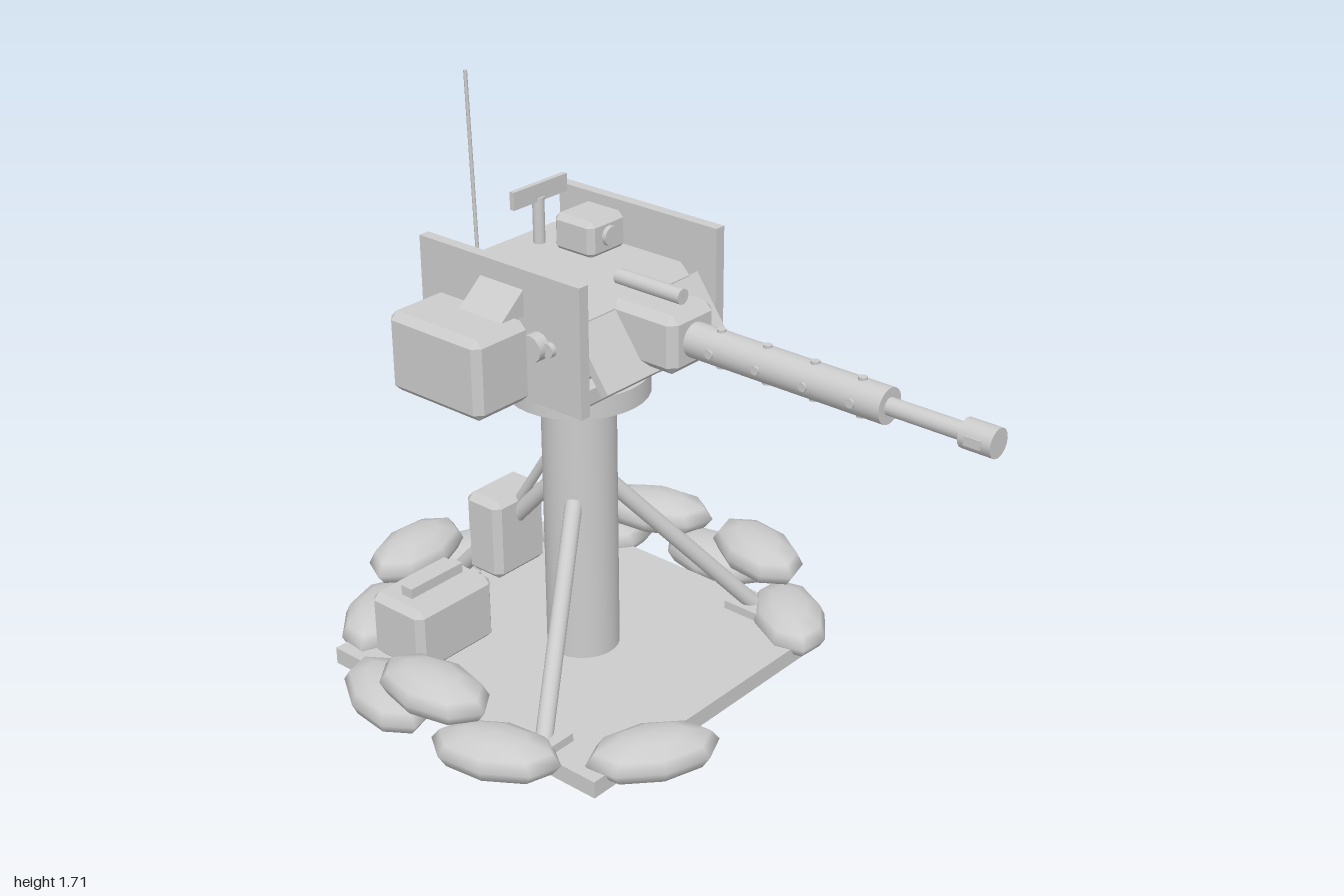
import * as THREE from 'three';
import { ConvexGeometry } from 'three/addons/geometries/ConvexGeometry.js';

export function createModel() {
  const model = new THREE.Group();
  const metal = new THREE.MeshStandardMaterial({ color: 0xcccccc });
  metal.name = 'light grey';
  const CX = -0.01, CZ = -0.3; // column axis

  function add(name, geometry, x = 0, y = 0, z = 0) {
    const mesh = new THREE.Mesh(geometry, metal);
    mesh.name = name;
    mesh.position.set(x, y, z);
    model.add(mesh);
    return mesh;
  }
  // box given by its limits, with optional chamfered edges
  function box(name, [x0, x1], [y0, y1], [z0, z1], bevel = 0) {
    const w = (x1 - x0) / 2, h = (y1 - y0) / 2, d = (z1 - z0) / 2;
    let geometry;
    if (bevel) {
      const points = [];
      for (const sx of [-1, 1]) for (const sy of [-1, 1]) for (const sz of [-1, 1]) {
        points.push(
          new THREE.Vector3(sx * w, sy * (h - bevel), sz * (d - bevel)),
          new THREE.Vector3(sx * (w - bevel), sy * h, sz * (d - bevel)),
          new THREE.Vector3(sx * (w - bevel), sy * (h - bevel), sz * d));
      }
      geometry = new ConvexGeometry(points);
    } else geometry = new THREE.BoxGeometry(w * 2, h * 2, d * 2);
    return add(name, geometry, (x0 + x1) / 2, (y0 + y1) / 2, (z0 + z1) / 2);
  }
  // cylinder running between two points
  function rod(name, a, b, radius, sides = 16) {
    const from = new THREE.Vector3(...a), to = new THREE.Vector3(...b);
    const dir = to.clone().sub(from);
    const mesh = add(name, new THREE.CylinderGeometry(radius, radius, dir.length(), sides));
    mesh.position.copy(from).add(to).multiplyScalar(0.5);
    mesh.quaternion.setFromUnitVectors(new THREE.Vector3(0, 1, 0), dir.normalize());
    return mesh;
  }

  // ground plate and pedestal
  box('basePlate', [-0.5, 0.48], [0.01, 0.06], [-0.8, 0.185]);
  rod('column', [CX, 0.06, CZ], [CX, 0.85, CZ], 0.103, 32);
  rod('columnFlange', [CX, 0.85, CZ], [CX, 0.91, CZ], 0.197, 32);
  rod('turretBearing', [CX, 0.9, CZ], [CX, 0.94, CZ], 0.13, 32);

  // braces with foot pads
  for (const s of [-1, 1]) {
    rod('frontBrace', [CX + s * 0.075, 0.55, -0.255], [CX + s * 0.45, 0.07, -0.03], 0.024);
    box('frontFoot', [CX + s * 0.44 - 0.05, CX + s * 0.44 + 0.05], [0.06, 0.085], [-0.1, 0.02]);
  }
  rod('rearBrace', [CX, 0.55, -0.39], [CX, 0.07, -0.83], 0.024);
  box('rearFoot', [CX - 0.05, CX + 0.05], [0.06, 0.085], [-0.88, -0.76]);

  // ring of sandbags: eight below, four on top, open at the front
  const bag = new THREE.SphereGeometry(1, 8, 6);
  function sandbag(degrees, radius, y) {
    const a = THREE.MathUtils.degToRad(degrees);
    const mesh = add('sandbag', bag, CX + radius * Math.cos(a), y, CZ + radius * Math.sin(a));
    mesh.scale.set(0.186, 0.063, 0.105);
    mesh.rotation.y = -a - Math.PI / 2;
  }
  for (const d of [0, 40, -40, -80, -120, -160, 160, 120]) sandbag(d, 0.6, 0.068);
  for (const d of [20, -20, -100, 180]) sandbag(d, 0.58, 0.183);

  // crate on the plate
  box('crate', [-0.45, -0.16], [0.06, 0.26], [-0.7, -0.5], 0.02);
  box('crateHandle', [-0.4, -0.205], [0.26, 0.29], [-0.62, -0.58]);

  // control box behind the column
  box('controlBox', [-0.11, 0.09], [0.2, 0.45], [-0.66, -0.53], 0.02);
  box('controlPanel', [-0.07, 0.05], [0.3, 0.41], [-0.685, -0.65]);
  add('controlKnob', new THREE.SphereGeometry(0.033, 16, 12), CX, 0.36, -0.69);
  rod('controlBoxStrut', [CX, 0.655, -0.39], [CX, 0.41, -0.55], 0.014, 10);

  // turret housing
  box('turretTray', [-0.237, 0.219], [0.925, 0.995], [-0.585, -0.08], 0.015);
  box('turretBody', [-0.245, 0.225], [0.985, 1.2], [-0.6, -0.085], 0.03);
  box('rearPanel', [-0.21, 0.19], [1.01, 1.15], [-0.607, -0.59]);
  const glacis = add('frontSlope', new THREE.BoxGeometry(0.48, 0.19, 0.025), CX, 1.085, -0.042);
  glacis.rotation.x = -0.62;

  // side shields and pivot hubs
  for (const s of [-1, 1]) {
    const x = CX + s * 0.264;
    box('sideShield', [x - 0.016, x + 0.016], [0.943, 1.3], [-0.588, -0.03]);
    rod('pivotHub', [CX + s * 0.22, 1.11, -0.17], [CX + s * 0.315, 1.11, -0.17], 0.037, 12);
    rod('pivotPin', [CX + s * 0.22, 1.11, -0.13], [CX + s * 0.295, 1.11, -0.13], 0.02, 12);
  }

  // ammunition box with feed chute
  box('ammoBox', [-0.5, -0.305], [0.96, 1.18], [-0.5, -0.18], 0.02);
  box('ammoBracket', [-0.31, -0.28], [1.04, 1.12], [-0.4, -0.26]);
  const chuteShape = new THREE.Shape([[-0.375, 1.175], [-0.285, 1.175], [-0.285, 1.25]]
    .map(([x, y]) => new THREE.Vector2(x, y)));
  add('feedChute', new THREE.ExtrudeGeometry(chuteShape, { depth: 0.15, bevelEnabled: false }), 0, 0, -0.37);

  // gun
  const GY = 1.11;
  box('receiver', [-0.097, 0.077], [1.03, 1.19], [-0.12, 0.105], 0.022);
  rod('receiverTube', [CX, 1.215, -0.15], [CX, 1.215, 0.065], 0.021);
  rod('barrelJacket', [CX, GY, 0.09], [CX, GY, 0.7], 0.047, 24);
  rod('barrel', [CX, GY, 0.69], [CX, GY, 0.93], 0.023);
  rod('muzzle', [CX, GY, 0.912], [CX, GY, 1], 0.038);
  for (const z of [0.19, 0.335, 0.48, 0.62]) {
    rod('jacketBoltVertical', [CX, GY - 0.053, z], [CX, GY + 0.053, z], 0.012, 8);
    rod('jacketBoltSide', [CX - 0.053, GY, z], [CX + 0.053, GY, z], 0.012, 8);
  }
  for (const s of [-1, 1]) {
    box('muzzleRib', [CX + s * 0.036 - 0.004, CX + s * 0.036 + 0.004], [GY - 0.012, GY + 0.012], [0.93, 0.975]);
  }

  // sight, crossbar and antenna on the roof
  box('sightBox', [0.05, 0.193], [1.195, 1.3], [-0.44, -0.3], 0.016);
  rod('sightLens', [0.12, 1.25, -0.32], [0.12, 1.25, -0.287], 0.028);
  rod('crossbarPost', [0.057, 1.19, -0.495], [0.057, 1.33, -0.495], 0.017, 12);
  box('crossbar', [-0.045, 0.16], [1.32, 1.37], [-0.5, -0.485]);
  rod('antennaBase', [-0.14, 1.19, -0.53], [-0.14, 1.225, -0.532], 0.01, 8);
  rod('antenna', [-0.14, 1.19, -0.53], [-0.14, 1.711, -0.548], 0.005, 8);

  return model;
}
